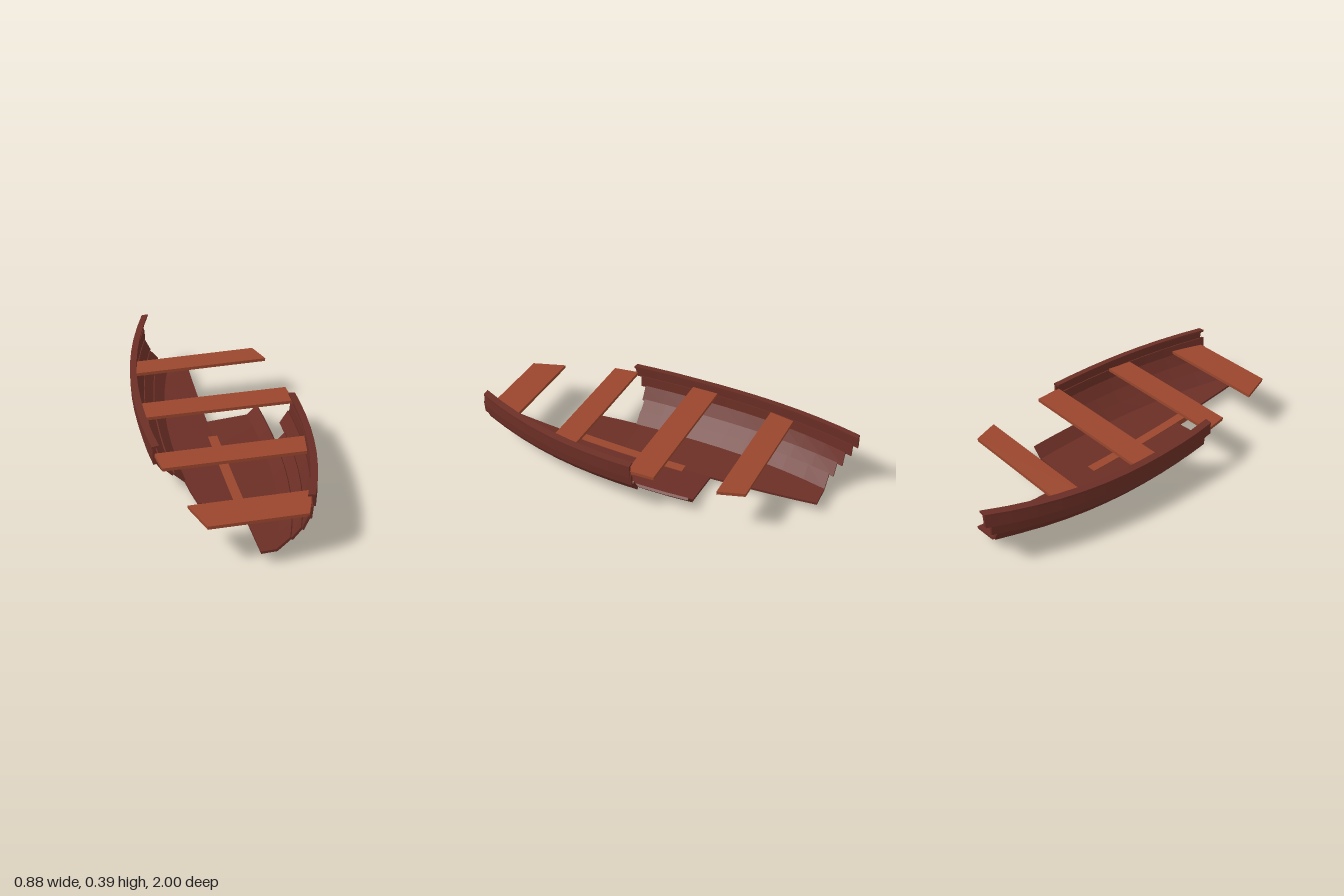
import * as THREE from 'three';

const hullWood = new THREE.MeshStandardMaterial({ color: 0x6a2e25 });
const seatWood = new THREE.MeshStandardMaterial({ color: 0x9a462d });
hullWood.name = 'dark hull wood';
seatWood.name = 'light seat wood';

// Plank edge lines from keel to gunwale: [x, y amidships, x, y at the boat's ends]
const LINES = [
  [0, 0.015, 0, 0.072],
  [0.25, 0.035, 0.08, 0.075],
  [0.31, 0.095, 0.15, 0.14],
  [0.365, 0.14, 0.2, 0.19],
  [0.415, 0.205, 0.235, 0.25],
  [0.428, 0.262, 0.248, 0.31],
  [0.434, 0.33, 0.25, 0.385],
];

// Point of an edge line at position z
function edge(i, z) {
  const [x0, y0, x1, y1] = LINES[i];
  const t = Math.abs(z);
  const drop = i === 6 && z > 0 ? 0.013 : 0; // the bow end sits a little lower
  return new THREE.Vector2(
    x0 + (x1 - x0) * Math.pow(t, 2.25),
    y0 + (y1 - drop - y0) * t * t
  );
}

// Solid through cross-sections (counter-clockwise seen from +z) from low to high z
function sweep(name, zs, ringAt, material) {
  const pos = [];
  const rings = zs.map((z) => ringAt(z).map((p) => [p.x, p.y, z]));
  const tri = (a, b, c) => pos.push(...a, ...b, ...c);
  const n = rings[0].length;
  for (let k = 0; k < rings.length - 1; k++) {
    const a = rings[k], b = rings[k + 1];
    for (let i = 0; i < n; i++) {
      const j = (i + 1) % n;
      tri(a[i], a[j], b[j]);
      tri(a[i], b[j], b[i]);
    }
  }
  const first = rings[0], last = rings[rings.length - 1];
  for (let i = 1; i < n - 1; i++) {
    tri(last[0], last[i], last[i + 1]);
    tri(first[0], first[i + 1], first[i]);
  }
  const g = new THREE.BufferGeometry();
  g.setAttribute('position', new THREE.Float32BufferAttribute(pos, 3));
  g.computeVertexNormals();
  const mesh = new THREE.Mesh(g, material);
  mesh.name = name;
  return mesh;
}

function stations(z0, z1) {
  const n = Math.max(2, Math.round((z1 - z0) / 0.13));
  return Array.from({ length: n + 1 }, (_, i) => z0 + ((z1 - z0) * i) / n);
}

// Swaps a cross-section to the other side, keeping its faces outward
function toSide(ring, side) {
  if (side > 0) return ring;
  return ring.map((p) => new THREE.Vector2(-p.x, p.y)).reverse();
}

// One plank between two edge lines; upper planks lap outside the one below
function plankRing(i, z, side) {
  const low = edge(i, z), high = edge(i + 1, z);
  const d = high.clone().sub(low).normalize();
  const inward = new THREE.Vector2(-d.y, d.x);
  if (i >= 2) low.addScaledVector(inward, -0.009).addScaledVector(d, -0.005);
  const th = 0.014;
  return toSide([
    low, high,
    high.clone().addScaledVector(inward, th),
    low.clone().addScaledVector(inward, th),
  ], side);
}

function railRing(z, side) {
  const p = edge(6, z);
  const v = (dx, dy) => new THREE.Vector2(p.x + dx, p.y + dy);
  return toSide([v(0.004, -0.012), v(0.004, 0), v(-0.034, 0.005), v(-0.034, -0.007)], side);
}

// Seat board: [x left and right at z0], [x left and right at z1], underside heights
function seat(name, z0, z1, xa, xb, yRight, yLeft) {
  const th = 0.018;
  return sweep(name, [z0, z1], (z) => {
    const [l, r] = z === z0 ? xa : xb;
    return [[l, yRight], [r, yLeft], [r, yLeft + th], [l, yRight + th]]
      .map(([x, y]) => new THREE.Vector2(x, y));
  }, seatWood);
}

export function createModel() {
  const boat = new THREE.Group();
  boat.name = 'brokenRowingBoat';

  // Planks on each side, with uneven broken ends: [z start, z end] from keel up
  const sides = {
    left: [1, [[-0.27, 1], [-0.27, 1], [0.11, 1], [-0.01, 1], [-0.005, 1], [0, 0.985]]],
    right: [-1, [[-0.88, 0.53], [-0.88, 0.3], [-0.905, 0.3], [-0.935, 0.315], [-0.97, 0.345], [-1, 0.38]]],
  };
  for (const [label, [side, spans]] of Object.entries(sides)) {
    const half = new THREE.Group();
    half.name = label + 'HullSide';
    spans.forEach(([a, b], i) => {
      half.add(sweep(label + 'Plank' + (i + 1), stations(a, b), (z) => plankRing(i, z, side), hullWood));
    });
    const [a, b] = spans[5];
    half.add(sweep(label + 'Gunwale', stations(a, b), (z) => railRing(z, side), hullWood));
    boat.add(half);
  }

  // Short piece of keel showing above and below the floor
  boat.add(sweep('keel', stations(-0.11, 0.62), (z) => {
    const y = edge(0, z).y;
    return [[-0.026, -0.015], [0.026, -0.015], [0.026, 0.02], [-0.026, 0.02]]
      .map(([x, dy]) => new THREE.Vector2(x, y + dy));
  }, seatWood));

  // Seats across the boat
  boat.add(
    seat('sternSeat', -0.605, -0.465, [-0.345, 0.345], [-0.37, 0.39], 0.27, 0.282),
    seat('middleSeat', -0.13, -0.02 + 0.04, [-0.405, 0.42], [-0.405, 0.425], 0.271, 0.275),
    seat('forwardSeat', 0.37, 0.51, [-0.405, 0.385], [-0.385, 0.36], 0.271, 0.272),
    seat('bowSeat', 0.805, 0.985, [-0.315, 0.3], [-0.255, 0.24], 0.247, 0.247)
  );
  return boat;
}
